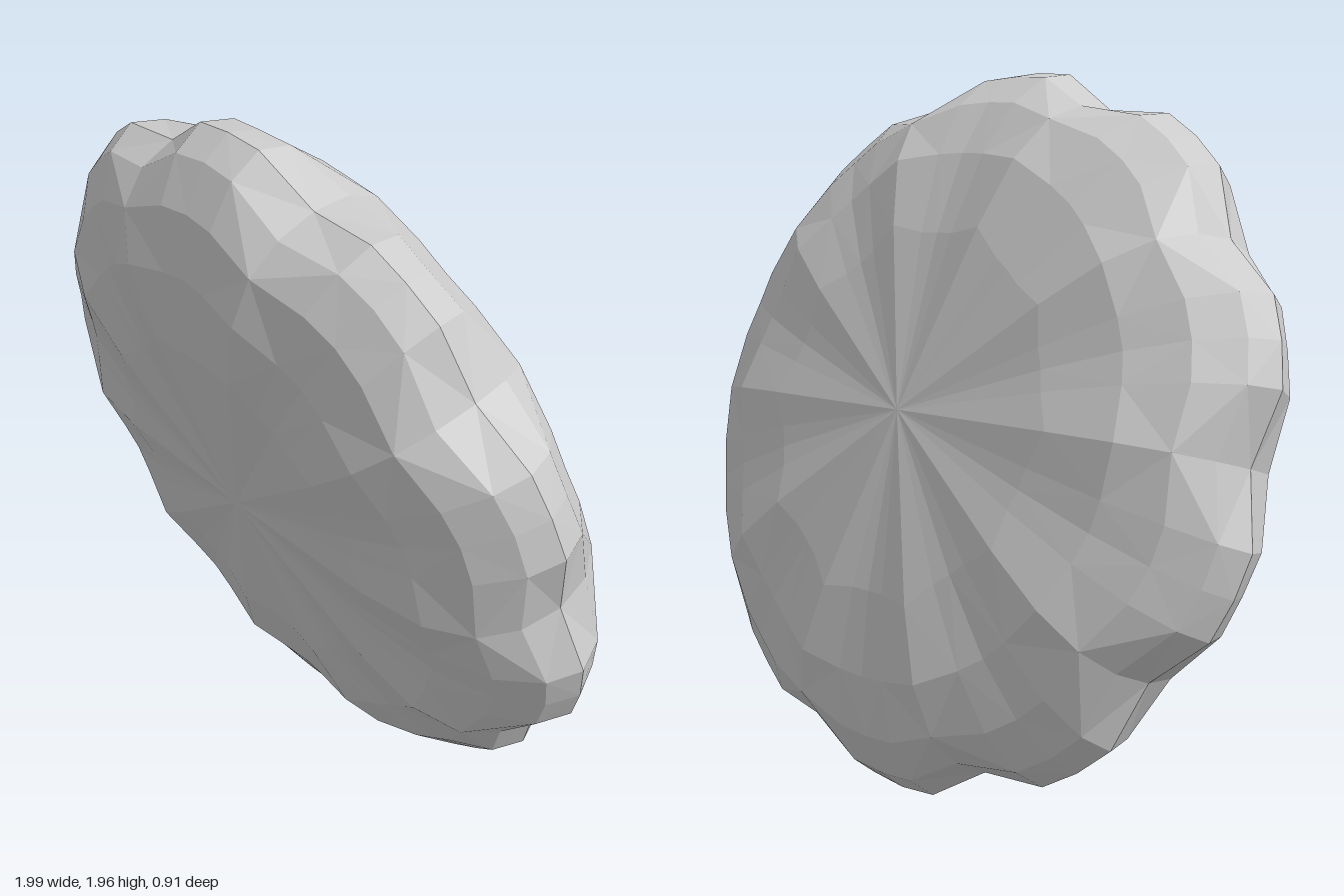
import * as THREE from 'three';

const LOBES = 10;
// Points across one lobe: angle in degrees, then how far the outline and the
// thickness have moved from the notch profile (0) to the lobe profile (1)
const steps = [[0, 0, 0], [11.2, 0.96, 0.75], [18, 1, 1], [24.8, 0.96, 0.75]];
const SEGMENTS = LOBES * steps.length;

// Half profiles (radius, half thickness): lobes are long and thin, notches short and plump
const lobe = [[0.49, 0.268], [0.72, 0.232], [0.88, 0.172], [0.98, 0.085], [1.018, 0]];
const notch = [[0.53, 0.283], [0.73, 0.26], [0.86, 0.2], [0.925, 0.11], [0.947, 0]];
const APEX = 0.29;

// Scalloped cushion facing +z, made from rings between a front and a back apex
function cushionGeometry() {
  const last = lobe.length - 1;
  const positions = [0, 0, APEX];
  for (let j = 0; j <= 2 * last; j++) {
    const p = j <= last ? j : 2 * last - j;
    const side = j <= last ? 1 : -1;
    for (let k = 0; k < SEGMENTS; k++) {
      const [degrees, outline, thickness] = steps[k % steps.length];
      const r = THREE.MathUtils.lerp(notch[p][0], lobe[p][0], outline);
      const z = THREE.MathUtils.lerp(notch[p][1], lobe[p][1], thickness) * side;
      const a = THREE.MathUtils.degToRad(Math.floor(k / steps.length) * 360 / LOBES + degrees);
      positions.push(r * Math.cos(a), r * Math.sin(a), z);
    }
  }
  positions.push(0, 0, -APEX);

  const rings = 2 * last + 1;
  const back = 1 + rings * SEGMENTS;
  const id = (j, k) => 1 + j * SEGMENTS + (k % SEGMENTS);
  const index = [];
  for (let k = 0; k < SEGMENTS; k++) {
    index.push(0, id(0, k), id(0, k + 1));
    index.push(back, id(rings - 1, k + 1), id(rings - 1, k));
    for (let j = 0; j < rings - 1; j++) {
      const a = id(j, k), b = id(j + 1, k), c = id(j + 1, k + 1), d = id(j, k + 1);
      // alternate the diagonals so facets fan out in stars
      if ((j + k) % 2) index.push(a, b, d, b, c, d);
      else index.push(a, b, c, a, c, d);
    }
  }
  const geometry = new THREE.BufferGeometry();
  geometry.setAttribute('position', new THREE.Float32BufferAttribute(positions, 3));
  geometry.setIndex(index);
  geometry.computeVertexNormals();
  return geometry;
}

export function createModel() {
  const group = new THREE.Group();
  const material = new THREE.MeshStandardMaterial({ color: 0xcccccc, flatShading: true });
  const cushion = new THREE.Mesh(cushionGeometry(), material);
  cushion.name = 'scallopedCushion';
  // leaning forward and turned slightly
  cushion.rotation.set(THREE.MathUtils.degToRad(15.3), THREE.MathUtils.degToRad(-6), 0, 'YXZ');
  cushion.position.y = 0.985;
  group.add(cushion);
  return group;
}
